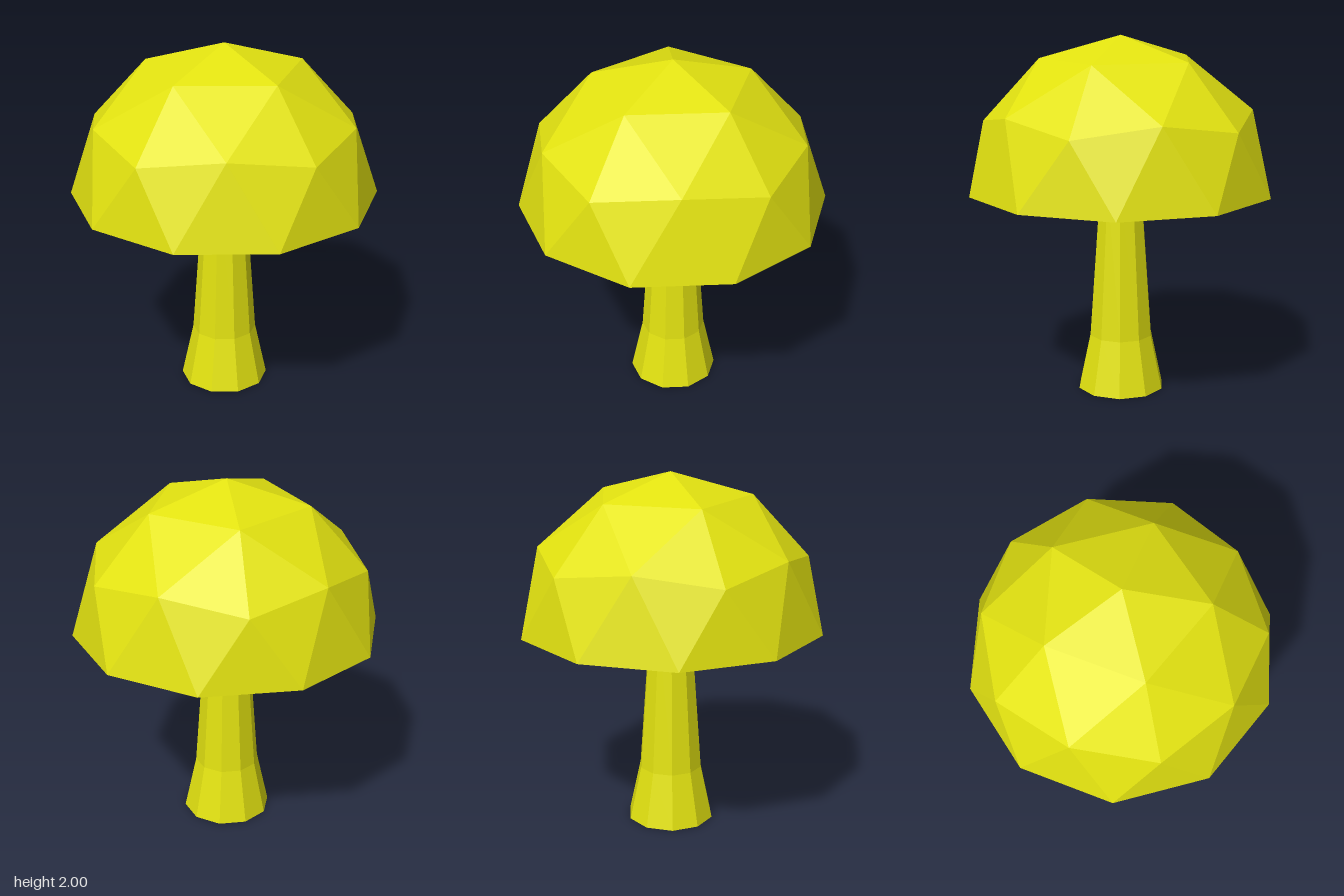
import * as THREE from 'three';

const CAP_RADIUS = 0.85;
const CAP_BASE = 1.15;
const SIDES = 10;

const yellow = new THREE.MeshStandardMaterial({ color: 0xe3e310 });
yellow.name = 'yellow';

// Faceted copy of a geometry
function faceted(geometry) {
  const flat = geometry.index ? geometry.toNonIndexed() : geometry;
  flat.computeVertexNormals();
  return flat;
}

// Ten-sided turned shape from [radius, height] pairs
function turned(profile) {
  return faceted(new THREE.LatheGeometry(profile.map(([r, y]) => new THREE.Vector2(r, y)), SIDES));
}

// Upper half of an icosphere with one corner pointing straight up
function dome(radius) {
  const sphere = new THREE.IcosahedronGeometry(radius, 1);
  sphere.rotateZ(Math.atan(2 / (1 + Math.sqrt(5))));
  const p = sphere.attributes.position;
  const kept = [];
  for (let i = 0; i < p.count; i += 3) {
    if (p.getY(i) + p.getY(i + 1) + p.getY(i + 2) < 0.01) continue;
    for (let k = i; k < i + 3; k++) kept.push(p.getX(k), p.getY(k), p.getZ(k));
  }
  const half = new THREE.BufferGeometry();
  half.setAttribute('position', new THREE.Float32BufferAttribute(kept, 3));
  return faceted(half);
}

export function createModel() {
  const model = new THREE.Group();
  model.name = 'mushroom';
  const add = (name, geometry, y = 0) => {
    const mesh = new THREE.Mesh(geometry, yellow);
    mesh.name = name;
    mesh.position.y = y;
    model.add(mesh);
  };

  // Domed cap
  add('cap', dome(CAP_RADIUS), CAP_BASE);

  // Recessed underside: flat ceiling and sloping lip
  add('capUnderside', turned([[0, 0.12], [0.655, 0.12], [CAP_RADIUS, 0]]), CAP_BASE);

  // Tapered stem with a flared foot
  add('stem', turned([[0, 0], [0.247, 0], [0.18, 0.31], [0.12, 1.15], [0.112, 1.27]]));

  return model;
}
